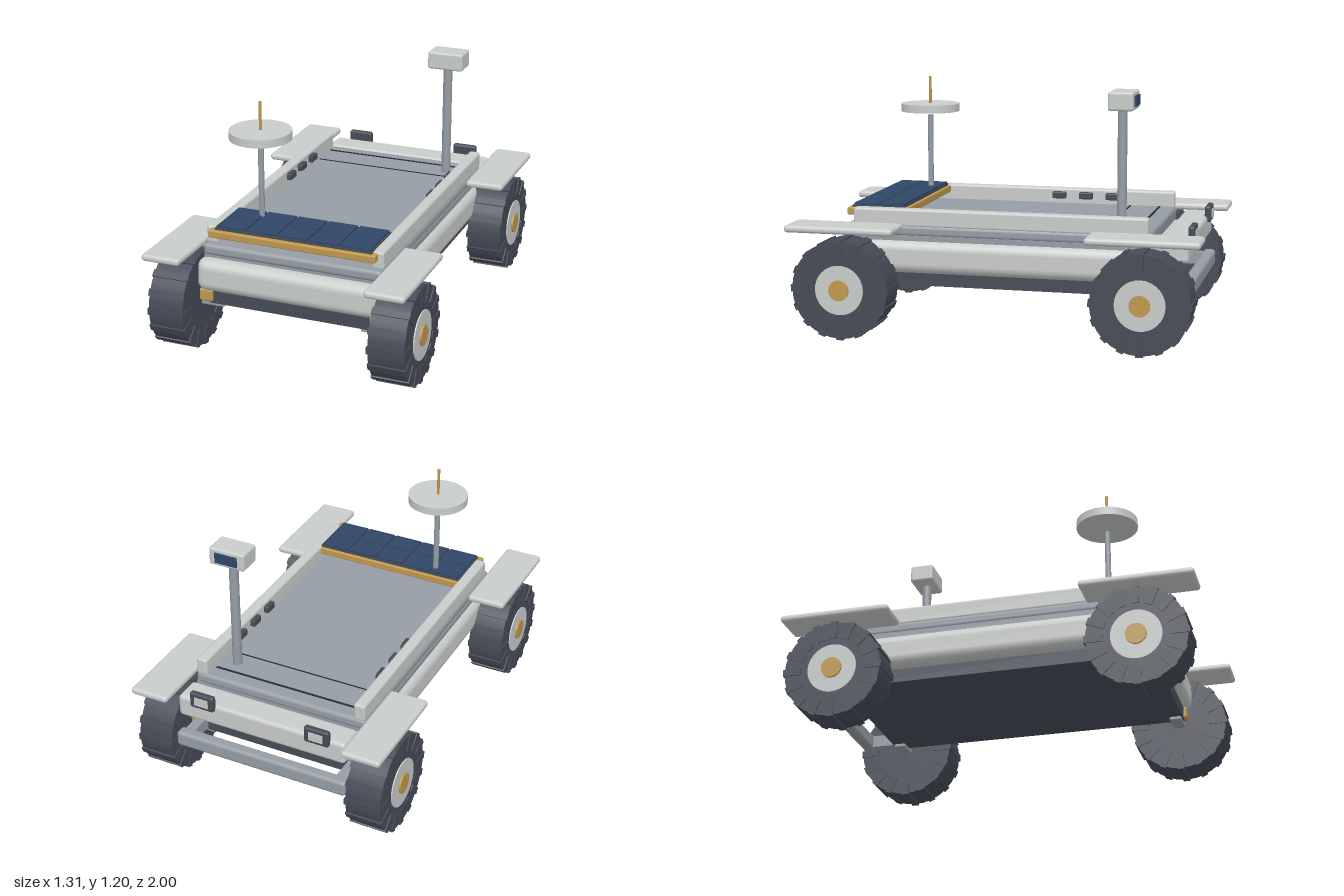
import * as THREE from 'three';
import { RoundedBoxGeometry } from 'three/addons/geometries/RoundedBoxGeometry.js';

function paint(name, color) {
  const m = new THREE.MeshStandardMaterial({ color });
  m.name = name;
  return m;
}

export function createModel() {
  const white = paint('pale shell', 0xc8ccca);
  const grey = paint('deck grey', 0x959da4);
  const dark = paint('dark rubber', 0x464b56);
  const black = paint('black trim', 0x2a2d35);
  const gold = paint('gold', 0xbf984e);
  const blue = paint('solar blue', 0x2f4766);

  const model = new THREE.Group();
  model.name = 'rover';

  // Box given by its minimum and maximum corners, with optional rounding
  function box(name, mat, x0, x1, y0, y1, z0, z1, r = 0, parent = model) {
    const w = x1 - x0, h = y1 - y0, d = z1 - z0;
    const geo = r ? new RoundedBoxGeometry(w, h, d, 3, r) : new THREE.BoxGeometry(w, h, d);
    const mesh = new THREE.Mesh(geo, mat);
    mesh.position.set((x0 + x1) / 2, (y0 + y1) / 2, (z0 + z1) / 2);
    mesh.name = name;
    parent.add(mesh);
    return mesh;
  }

  // Upright cylinder between two heights
  function post(name, mat, x, z, y0, y1, r, sides = 20) {
    const mesh = new THREE.Mesh(new THREE.CylinderGeometry(r, r, y1 - y0, sides), mat);
    mesh.position.set(x, (y0 + y1) / 2, z);
    mesh.name = name;
    model.add(mesh);
  }

  // Disc lying along the x axis
  function disc(name, mat, r, x0, x1, parent, sides = 32) {
    const geo = new THREE.CylinderGeometry(r, r, x1 - x0, sides).rotateZ(-Math.PI / 2);
    const mesh = new THREE.Mesh(geo, mat);
    mesh.position.x = (x0 + x1) / 2;
    mesh.name = name;
    parent.add(mesh);
  }

  // Body layers
  box('belly', dark, -0.42, 0.42, 0.24, 0.33, -0.76, 0.76);
  box('hull', white, -0.48, 0.48, 0.305, 0.468, -0.79, 0.8, 0.05);
  box('hullCap', grey, -0.45, 0.45, 0.46, 0.49, -0.73, 0.74);
  box('deck', grey, -0.45, 0.45, 0.483, 0.54, -0.735, 0.757, 0.02);
  box('deckSeam', black, -0.38, 0.38, 0.538, 0.543, -0.661, -0.65);
  box('deckSeam', black, -0.38, 0.38, 0.538, 0.543, -0.508, -0.502);

  // Rear equipment box and bumper
  box('rearBox', white, -0.44, 0.44, 0.41, 0.525, -0.92, -0.78, 0.02);
  box('rearBumper', grey, -0.45, 0.45, 0.24, 0.32, -0.94, -0.88, 0.018);

  for (const s of [-1, 1]) {
    const side = (name, mat, xa, xb, ...rest) =>
      box(name, mat, Math.min(s * xa, s * xb), Math.max(s * xa, s * xb), ...rest);

    // Side rails with small switches on the inner faces
    side('sideRail', white, 0.39, 0.447, 0.53, 0.617, -0.73, 0.715, 0.012);
    for (const z of [-0.41, -0.27, -0.13])
      side('railSwitch', dark, 0.365, 0.395, 0.565, 0.6, z - 0.035, z + 0.035, 0.006);

    // Rear lamps
    side('lampHousing', dark, 0.237, 0.365, 0.492, 0.575, -0.937, -0.905, 0.012);
    side('lampLens', white, 0.265, 0.337, 0.512, 0.555, -0.941, -0.935);
    side('bumperBracket', grey, 0.38, 0.43, 0.25, 0.31, -0.89, -0.75);

    for (const e of [-1, 1]) {
      // Fenders, suspension and wheels at each corner
      const zc = e * 0.725;
      side('fender', white, 0.455, 0.65, 0.515, 0.55, e * 0.73 - 0.27, e * 0.73 + 0.27, 0.016);
      side('suspensionBlock', gold, 0.4, 0.47, 0.25, 0.312, zc - 0.05, zc + 0.05, 0.01);
      side('suspensionArm', grey, 0.35, 0.48, 0.222, 0.252, zc - 0.03, zc + 0.03, 0.008);

      const wheel = new THREE.Group();
      wheel.name = 'wheel';
      wheel.position.set(s * 0.552, 0.245, zc);
      wheel.rotation.y = s > 0 ? 0 : Math.PI;
      model.add(wheel);
      disc('tyre', dark, 0.237, -0.088, 0.088, wheel);
      disc('hub', white, 0.12, 0.08, 0.094, wheel);
      disc('hubCap', gold, 0.05, 0.09, 0.103, wheel, 24);
      for (let i = 0; i < 16; i++) {
        const lug = box('treadLug', dark, -0.0925, 0.0925, 0.155, 0.243, -0.017, 0.017, 0, wheel);
        lug.geometry.translate(0, lug.position.y, 0);
        lug.position.set(0, 0, 0);
        lug.rotation.x = (i * Math.PI) / 8;
      }
    }
  }

  // Solar array: gold tray, dark backing and five by two cells
  box('solarTray', gold, -0.42, 0.42, 0.575, 0.611, 0.46, 0.755, 0.006);
  box('solarBacking', dark, -0.395, 0.395, 0.605, 0.62, 0.475, 0.735);
  for (let c = 0; c < 5; c++) {
    for (let r = 0; r < 2; r++) {
      const x = (c - 2) * 0.157, z = 0.54 + r * 0.128;
      box('solarCell', blue, x - 0.073, x + 0.073, 0.618, 0.63, z - 0.06, z + 0.06);
    }
  }

  // Dish antenna
  post('antennaMast', grey, -0.245, 0.525, 0.61, 1.0, 0.014);
  post('antennaDish', white, -0.245, 0.525, 1.02, 1.06, 0.15, 32);
  post('antennaRod', gold, -0.245, 0.525, 1.06, 1.2, 0.007, 12);

  // Camera mast
  post('cameraMast', grey, 0.307, -0.58, 0.53, 1.12, 0.023);
  box('cameraHead', white, 0.215, 0.4, 1.11, 1.2, -0.645, -0.523, 0.012);
  box('cameraLens', blue, 0.25, 0.365, 1.13, 1.18, -0.653, -0.644);

  return model;
}
